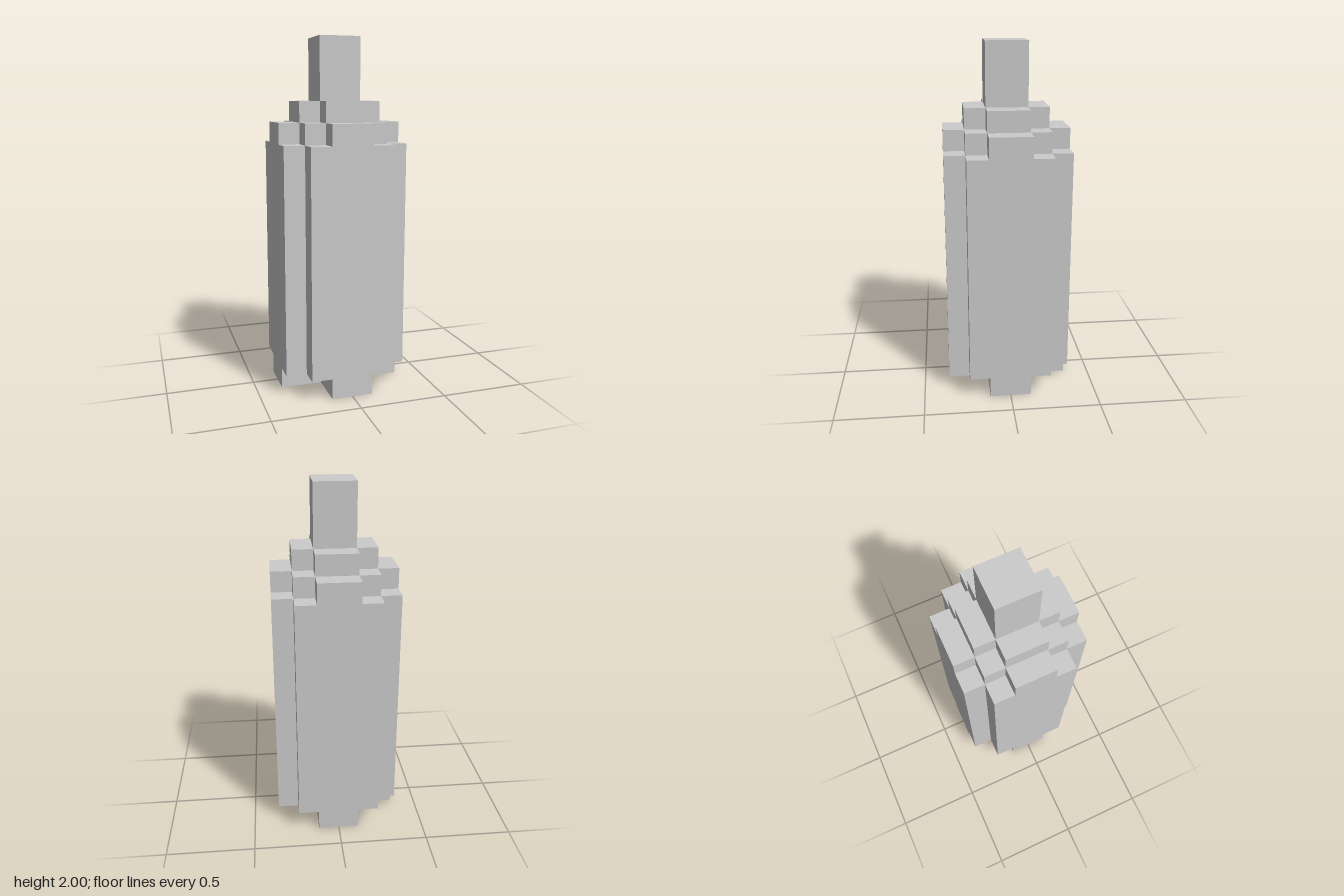
import * as THREE from 'three';

const U = 2 / 17; // one block

export function createModel() {
  const group = new THREE.Group();
  const material = new THREE.MeshStandardMaterial({ color: 0xcccccc, flatShading: true });

  // Upright prism between two levels; the corners of one quadrant are turned four times.
  function layer(name, corners, bottom, top) {
    const points = [];
    for (let turn = 0; turn < 4; turn++) {
      for (const [x, y] of corners) {
        let p = [x, y];
        for (let i = 0; i < turn; i++) p = [-p[1], p[0]];
        points.push(new THREE.Vector2(p[0] * U, p[1] * U));
      }
    }
    const geometry = new THREE.ExtrudeGeometry(new THREE.Shape(points), {
      depth: (top - bottom) * U, bevelEnabled: false,
    });
    geometry.rotateX(-Math.PI / 2);
    const mesh = new THREE.Mesh(geometry, material);
    mesh.name = name;
    mesh.position.y = bottom * U;
    group.add(mesh);
  }

  // Body with notched corners, stepped shoulders and the top post
  layer('body', [[3, 2], [2, 2], [2, 3]], 1, 12);
  layer('lowerShoulder', [[3, 1], [2, 1], [2, 2], [1, 2], [1, 3]], 12, 13);
  layer('upperShoulder', [[2, 1], [1, 1], [1, 2]], 13, 14);
  layer('topPost', [[1, 1]], 14, 17);

  // Four feet around an open centre
  for (const [x, z, name] of [[0, 2, 'frontFoot'], [2, 0, 'leftFoot'], [0, -2, 'backFoot'], [-2, 0, 'rightFoot']]) {
    const foot = new THREE.Mesh(new THREE.BoxGeometry(2 * U, U, 2 * U), material);
    foot.name = name;
    foot.position.set(x * U, U / 2, z * U);
    group.add(foot);
  }
  return group;
}
